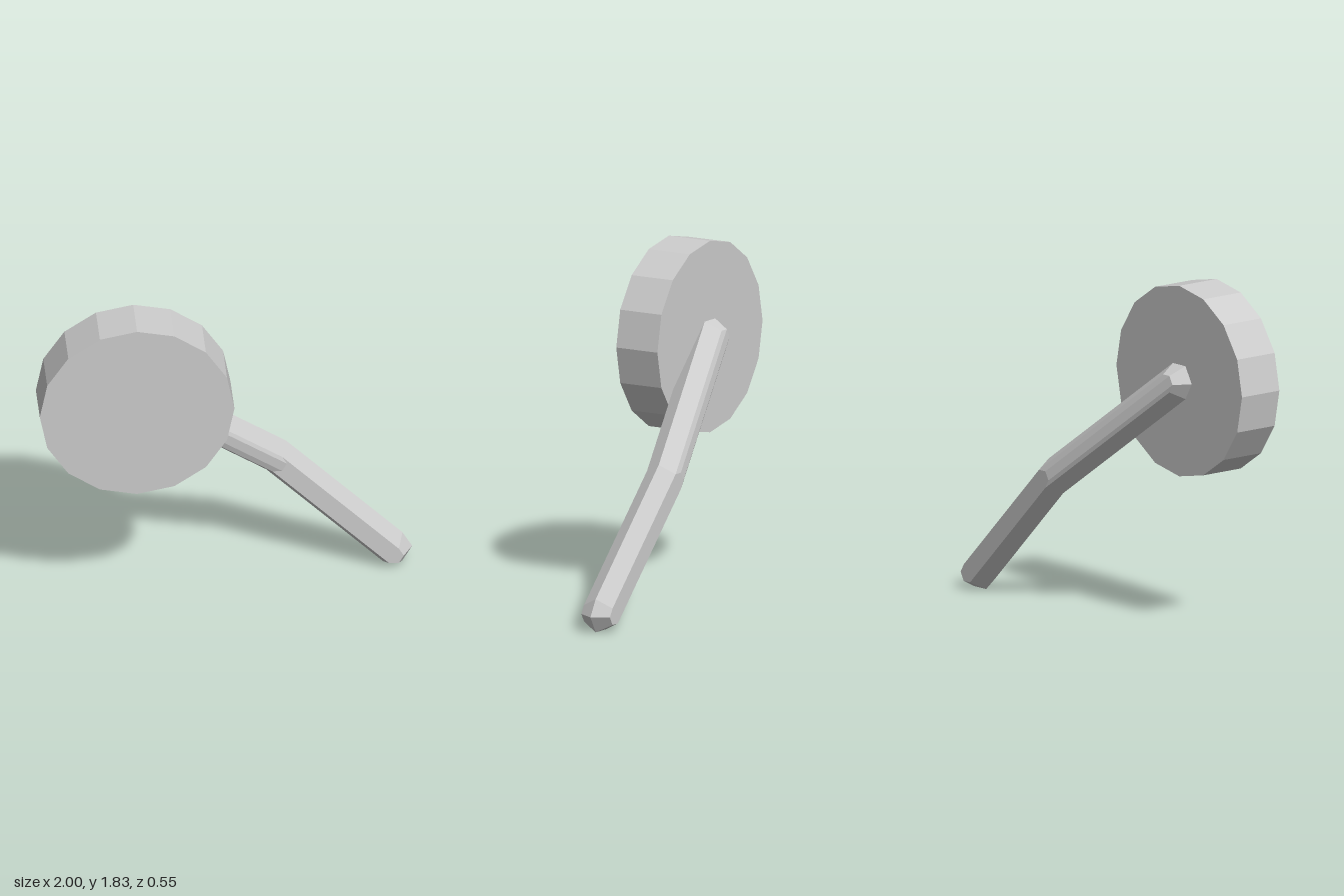
import * as THREE from 'three';
import { ConvexGeometry } from 'three/addons/geometries/ConvexGeometry.js';

const U = 2 / 19.5; // base unit: radius of the handle

// Six-sided, three-tier ball: a wide middle ring and two half-size end rings along z
function ballPoints(c) {
  const points = [];
  for (const [ring, dz] of [[0.5, -Math.sqrt(0.75)], [1, 0], [0.5, Math.sqrt(0.75)]]) {
    for (let i = 0; i < 6; i++) {
      const a = (i * Math.PI) / 3;
      points.push(new THREE.Vector3(
        c.x + U * ring * Math.cos(a), c.y + U * ring * Math.sin(a), c.z + U * dz));
    }
  }
  return points;
}

export function createModel() {
  const group = new THREE.Group();
  const grey = new THREE.MeshStandardMaterial({ color: 0xcccccc, flatShading: true });
  grey.name = 'light grey';

  // Handle joints, from the disc centre through the bend to the tip
  const root = new THREE.Vector3(-0.487, 1.32, 0.019);
  const bend = new THREE.Vector3(0.282, 0.704, -0.186);
  const tip = new THREE.Vector3(0.897, 0.089, -0.186);

  // Thick sixteen-sided disc, its back face level with the handle root
  const discGeometry = new THREE.CylinderGeometry(5 * U, 5 * U, 2.5 * U, 16);
  discGeometry.rotateX(Math.PI / 2);
  const disc = new THREE.Mesh(discGeometry, grey);
  disc.name = 'disc';
  disc.position.set(root.x, root.y, root.z + 1.25 * U);
  group.add(disc);

  // Each handle section is the hull around two joint balls
  for (const [name, a, b] of [['upperHandle', root, bend], ['lowerHandle', bend, tip]]) {
    const section = new THREE.Mesh(
      new ConvexGeometry([...ballPoints(a), ...ballPoints(b)]), grey);
    section.name = name;
    group.add(section);
  }
  return group;
}
